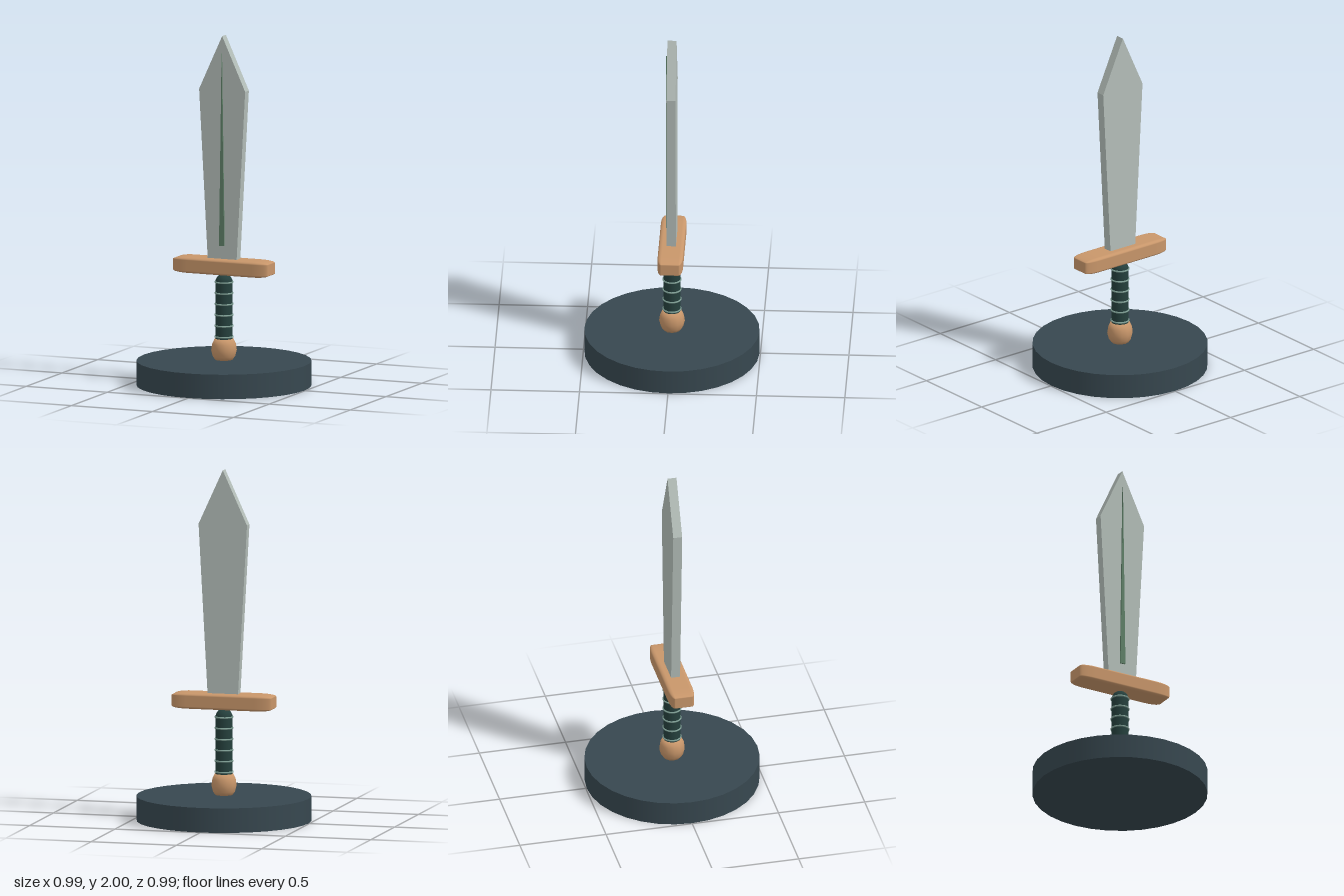
import * as THREE from 'three';
import { RoundedBoxGeometry } from 'three/addons/geometries/RoundedBoxGeometry.js';

const paint = (color) => new THREE.MeshStandardMaterial({ color });

export function createModel() {
  const group = new THREE.Group();
  const stone = paint(0x37474f), wood = paint(0xc8966a), steel = paint(0xb4beb9);
  const leather = paint(0x25403d), cord = paint(0x7f9f95), inlay = paint(0x5f8068);

  const add = (name, geometry, material, y = 0, z = 0) => {
    const mesh = new THREE.Mesh(geometry, material);
    mesh.name = name;
    mesh.position.set(0, y, z);
    group.add(mesh);
    return mesh;
  };

  // Flat plate cut from an outline and centred on its thickness
  const plate = (points, depth) => {
    const shape = new THREE.Shape(points.map(([x, y]) => new THREE.Vector2(x, y)));
    return new THREE.ExtrudeGeometry(shape, { depth, bevelEnabled: false })
      .translate(0, 0, -depth / 2);
  };

  // Round display stand
  add('base', new THREE.CylinderGeometry(0.495, 0.495, 0.14, 32), stone, 0.07);

  // Pommel: a squat knob, narrowing above and below
  const pommelProfile = [[0, 0.14], [0.05, 0.145], [0.064, 0.165], [0.073, 0.2],
    [0.068, 0.235], [0.054, 0.265], [0, 0.266]].map(([r, y]) => new THREE.Vector2(r, y));
  add('pommel', new THREE.LatheGeometry(pommelProfile, 12), wood);

  // Grip with a rounded top, wound with cord
  add('grip', new THREE.CapsuleGeometry(0.049, 0.35, 6, 16), leather, 0.413);
  for (let i = 0; i < 6; i++) {
    const ring = add('gripRing', new THREE.TorusGeometry(0.05, 0.005, 6, 24), cord, 0.277 + i * 0.0625);
    ring.rotation.x = Math.PI / 2;
  }

  // Crossguard: a rounded block stretched sideways, so its ends taper
  const guard = add('guard', new RoundedBoxGeometry(1, 1, 1, 4, 0.16), wood, 0.68);
  guard.scale.set(0.586, 0.09, 0.144);

  // Blade, flaring towards its point
  add('blade', plate([[-0.088, 0.7], [0.088, 0.7], [0.142, 1.69], [0, 2], [-0.142, 1.69]], 0.052), steel);

  // Raised tapering strip on the front of the blade
  add('bladeInlay', plate([[-0.016, 0.8], [0.016, 0.8], [0, 1.9]], 0.014), inlay, 0, 0.027);

  return group;
}
